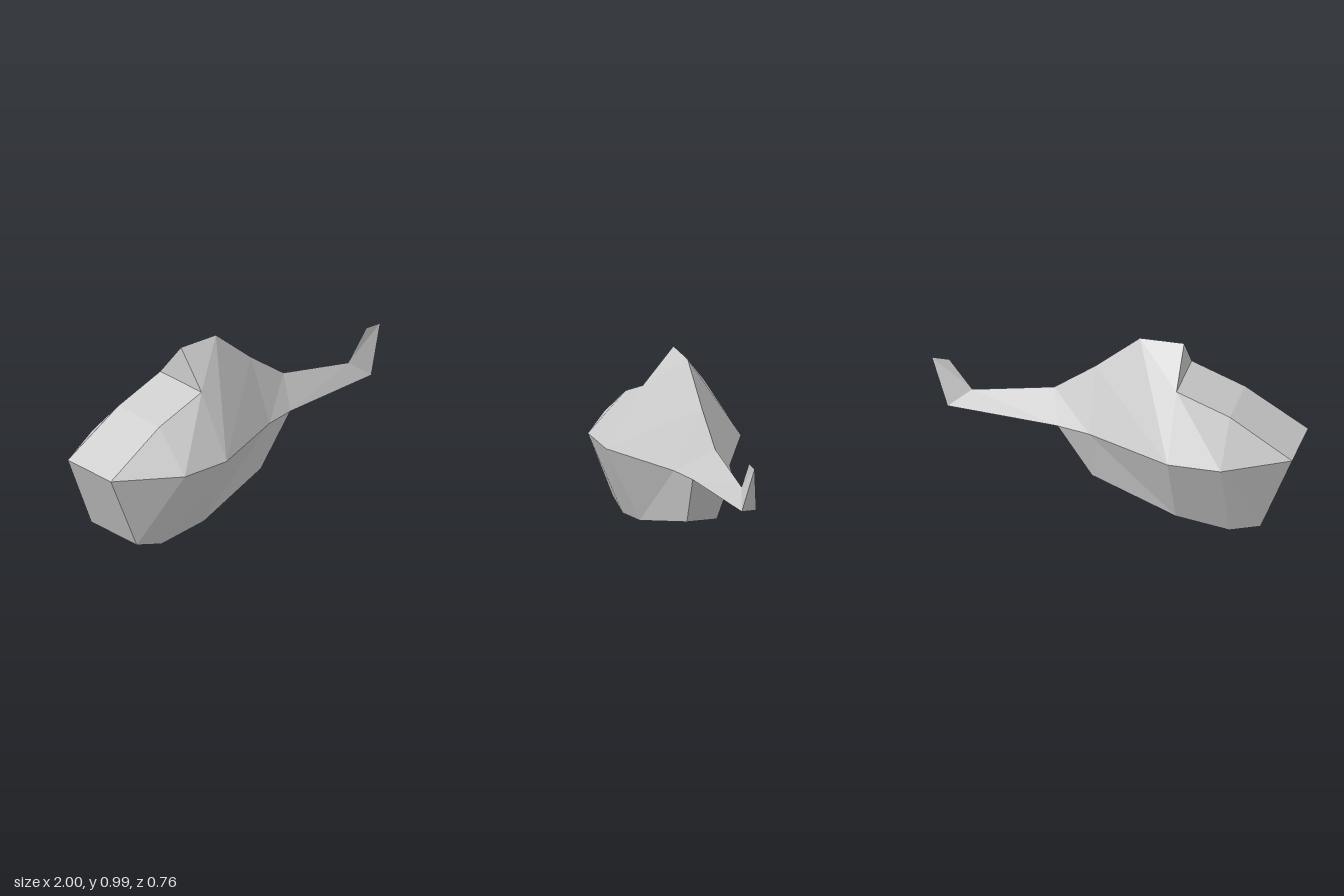
import * as THREE from 'three';

// Half-model stations: [x, y, half width]; z is mirrored for the other side
const P = {
  // waistline, nose to tail
  w0: [-1, 0.46, 0.177], w1: [-0.66, 0.46, 0.38], w2: [-0.37, 0.46, 0.375],
  w3: [0.11, 0.46, 0.155], w4: [0.29, 0.46, 0.11], w5: [0.905, 0.46, 0.04],
  // keel
  b0: [-0.83, 0.045, 0.187], b1: [-0.66, 0, 0.187], b2: [-0.37, 0.045, 0.187], b3: [0.11, 0.17, 0.083],
  // cabin roof edge
  t1: [-0.66, 0.675, 0.17], t2: [-0.37, 0.79, 0.17],
  // centre ridge from engine cowl to tail fin
  r0: [-0.37, 0.99, 0], r1: [-0.13, 0.99, 0], r2: [0.11, 0.79, 0], r3: [0.335, 0.63, 0],
  r4: [0.78, 0.555, 0], r5: [0.905, 0.72, 0], r6: [1, 0.72, 0],
};

const material = new THREE.MeshStandardMaterial({ color: 0xcccccc, flatShading: true });

// sides: triangles of the +z flank, mirrored to -z
// spans: chains of stations bridged straight across from +z to -z
function shell(name, sides, spans) {
  const pos = [];
  const put = (key, s) => pos.push(P[key][0], P[key][1], P[key][2] * s);
  for (const tri of sides) {
    const [a, b, c] = tri.split(' ');
    put(a, 1); put(b, 1); put(c, 1);
    put(a, -1); put(c, -1); put(b, -1);
  }
  for (const chain of spans) {
    const keys = chain.split(' ');
    for (let i = 0; i < keys.length - 1; i++) {
      const [a, b] = [keys[i], keys[i + 1]];
      if (P[b][2] > 0) { put(a, 1); put(b, 1); put(b, -1); }
      if (P[a][2] > 0) { put(a, 1); put(b, -1); put(a, -1); }
    }
  }
  const geometry = new THREE.BufferGeometry();
  geometry.setAttribute('position', new THREE.Float32BufferAttribute(pos, 3));
  geometry.computeVertexNormals();
  const mesh = new THREE.Mesh(geometry, material);
  mesh.name = name;
  return mesh;
}

export function createModel() {
  const group = new THREE.Group();
  group.name = 'helicopterBody';

  // Belly below the waistline, with its nose and rear faces
  group.add(shell('lowerHull', [
    'w0 b0 w1', 'b0 b1 w1', 'w1 b1 w2', 'b1 b2 w2', 'w2 b2 w3', 'b2 b3 w3', 'w3 b3 w4',
  ], ['w4 b3 b2 b1 b0 w0']));

  // Cabin flanks and sloping windscreen roof
  group.add(shell('cabin', ['w0 w1 t1', 'w1 t2 t1', 'w1 w2 t2'], ['w0 t1 t2']));

  // Engine cowl with its upright front wall
  group.add(shell('engineCowl', [
    't2 r1 r0', 't2 w2 r1', 'w2 r2 r1', 'w2 w3 r2', 'w3 r3 r2', 'w3 w4 r3',
  ], ['t2 r0']));

  // Tapering tail boom with flat underside
  group.add(shell('tailBoom', ['w4 r4 r3', 'w4 w5 r4'], ['w5 w4']));

  // Upswept tail fin
  group.add(shell('tailFin', ['r4 w5 r6', 'r4 r6 r5'], ['r6 w5']));

  return group;
}
